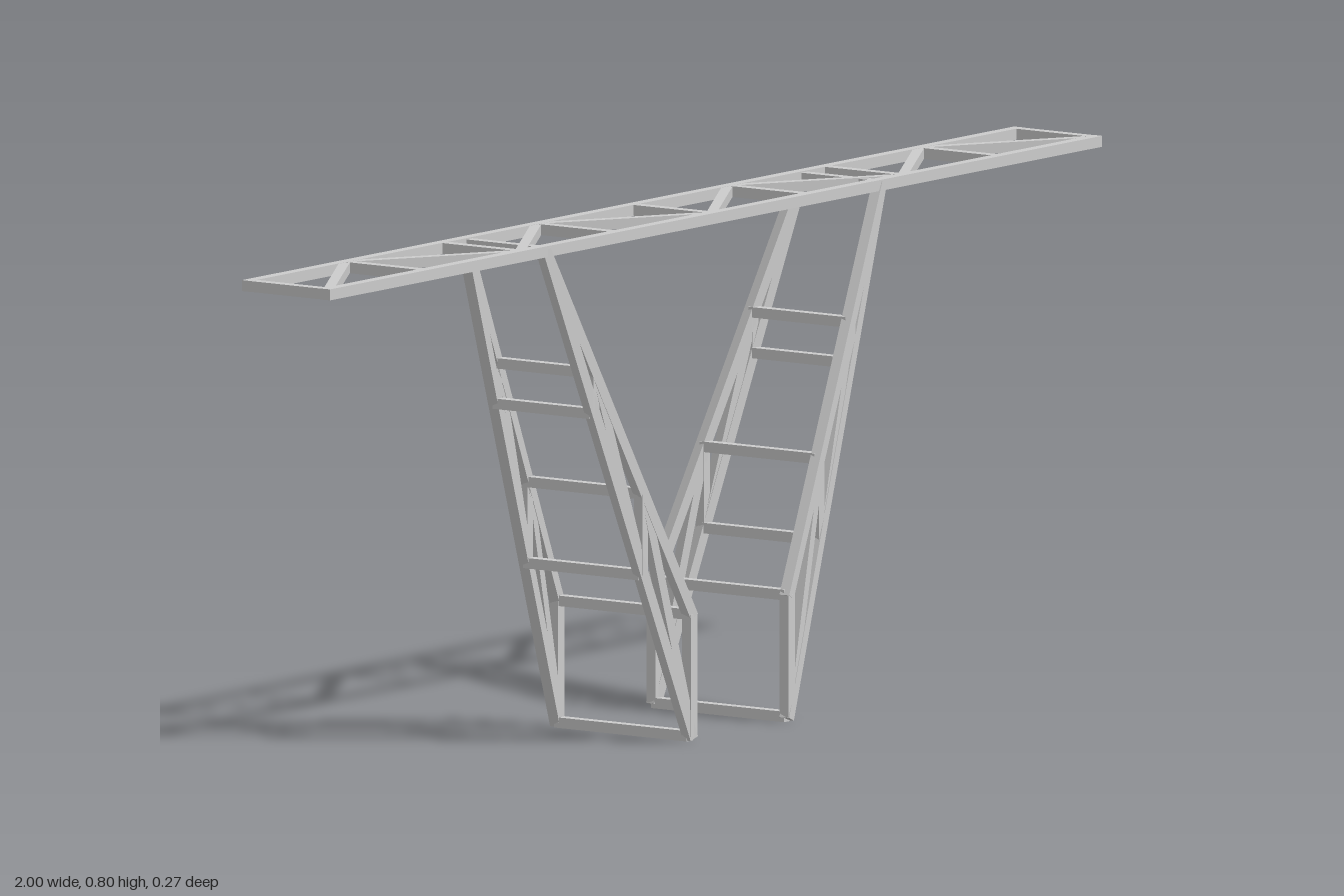
import * as THREE from 'three';

const material = new THREE.MeshStandardMaterial({ color: 0xcccccc, flatShading: true });
const T = 0.017; // bar thickness
const V = (x, y, z) => new THREE.Vector3(x, y, z);

// square bar between two points, kept upright around its own axis
function bar(group, name, a, b, t = T, extend = 0) {
  const dir = b.clone().sub(a);
  const mesh = new THREE.Mesh(new THREE.BoxGeometry(t, t, dir.length() + extend), material);
  mesh.name = name;
  mesh.position.copy(a).add(b).multiplyScalar(0.5);
  if (Math.abs(dir.x) + Math.abs(dir.z) < 1e-6) mesh.rotation.x = Math.PI / 2;
  else mesh.lookAt(b);
  group.add(mesh);
}

// flat horizontal truss
function createTruss() {
  const g = new THREE.Group();
  g.name = 'topTruss';
  const y = 0.7915, halfZ = 0.075, halfX = 0.9915, bays = 8;
  for (const s of [-1, 1]) bar(g, 'rail', V(-halfX, y, s * halfZ), V(halfX, y, s * halfZ), T, T);
  for (let i = 0; i <= bays; i++) {
    const x = -halfX + (2 * halfX * i) / bays;
    bar(g, 'crossBar', V(x, y, -halfZ), V(x, y, halfZ), T * 0.98);
    if (i === bays) continue;
    const s = i % 2 ? -1 : 1;
    bar(g, 'diagonal', V(x, y, s * halfZ), V(x + (2 * halfX) / bays, y, -s * halfZ), T * 0.95);
  }
  return g;
}

// tapered leg with an outer and an inner ladder, side = +1 or -1 along x
function createLeg(side) {
  const g = new THREE.Group();
  g.name = side > 0 ? 'leftLeg' : 'rightLeg';
  const point = (bottom, f, s) => V(
    side * THREE.MathUtils.lerp(0.126, 0.434, f),
    THREE.MathUtils.lerp(bottom, 0.79, f),
    s * THREE.MathUtils.lerp(0.126, 0.075, f));
  const outer = (i, s) => point(0.0095, i / 3, s);
  const inner = (i, s) => point(0.198, i / 3, s);

  for (const s of [-1, 1]) {
    bar(g, 'outerStrut', outer(0, s), outer(3, s), T, 0.008);
    bar(g, 'innerStrut', inner(0, s), inner(3, s), T, 0.008);
    bar(g, 'footPost', outer(0, s), inner(0, s));
    // web between the two struts
    for (let i = 0; i < 2; i++) {
      bar(g, 'webDiagonal', outer(i, s), inner(i + 1, s), T * 0.9);
      bar(g, 'webPost', outer(i + 1, s), inner(i + 1, s), T * 0.9);
    }
  }
  // rungs across the leg
  for (let i = 0; i <= 3; i++) {
    bar(g, 'outerRung', outer(i, -1), outer(i, 1), T * 0.95);
    if (i < 3) bar(g, 'innerRung', inner(i, -1), inner(i, 1), T * 0.95);
  }
  return g;
}

export function createModel() {
  const model = new THREE.Group();
  model.name = 'trussFrame';
  model.add(createTruss(), createLeg(1), createLeg(-1));
  return model;
}
